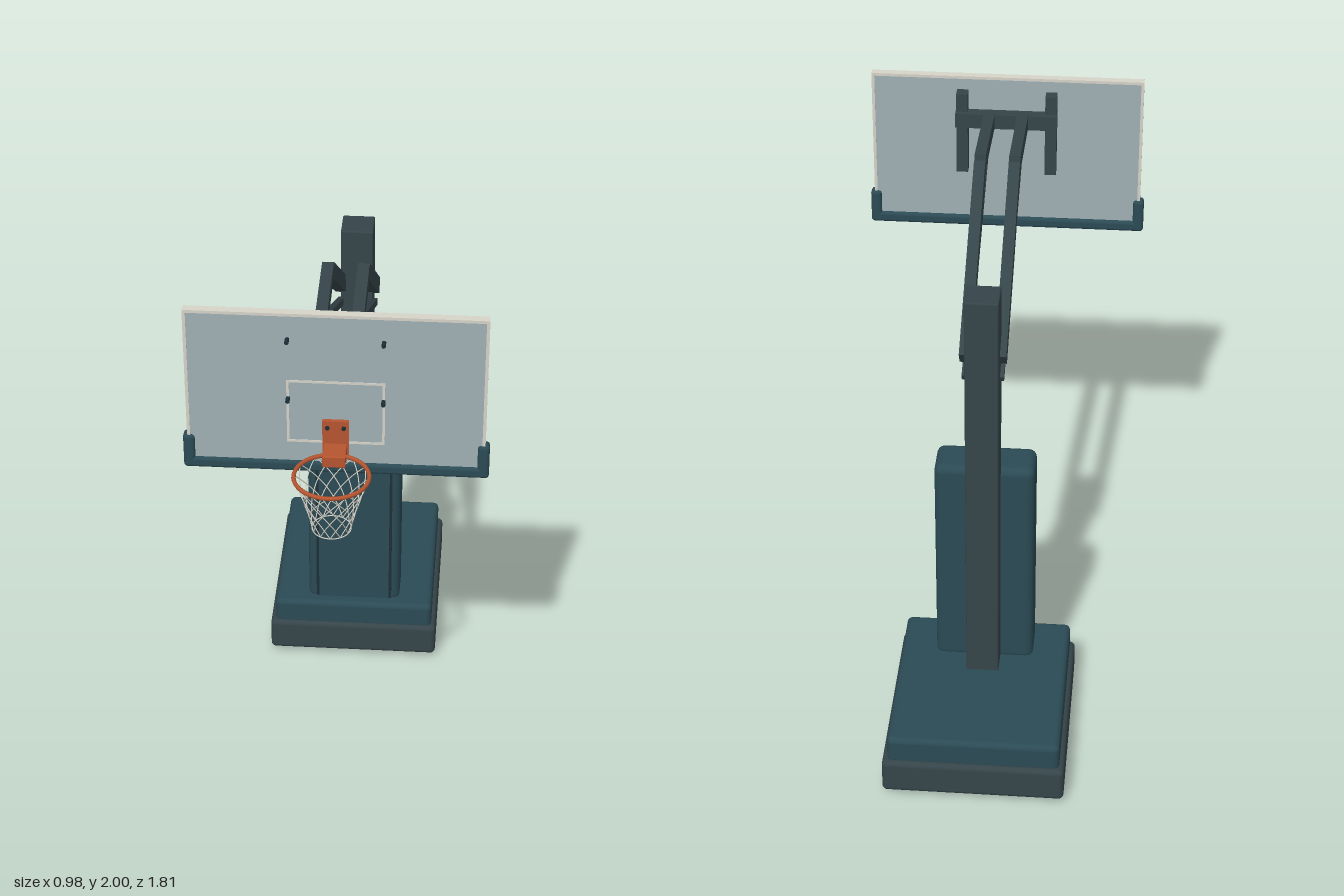
import * as THREE from 'three';
import { RoundedBoxGeometry } from 'three/addons/geometries/RoundedBoxGeometry.js';

const mat = (color) => new THREE.MeshStandardMaterial({ color });

export function createModel() {
  const root = new THREE.Group();
  const teal = mat(0x2b4a54), steel = mat(0x354449), dark = mat(0x1d2f36);
  const orange = mat(0xb65530), cream = mat(0xd6d3c8), glass = mat(0x9fb0b5);

  const add = (name, geometry, material, x = 0, y = 0, z = 0) => {
    const mesh = new THREE.Mesh(geometry, material);
    mesh.name = name;
    mesh.position.set(x, y, z);
    root.add(mesh);
    return mesh;
  };
  // Box given by its extents; r > 0 rounds its edges
  const box = (name, material, [x0, x1], [y0, y1], [z0, z1], r = 0) => {
    const s = [x1 - x0, y1 - y0, z1 - z0];
    const g = r ? new RoundedBoxGeometry(...s, 3, r) : new THREE.BoxGeometry(...s);
    return add(name, g, material, (x0 + x1) / 2, (y0 + y1) / 2, (z0 + z1) / 2);
  };
  // Straight beam in a plane of constant x, between two [z, y] points
  const beam = (name, x, [z0, y0], [z1, y1], width, height) => {
    const g = new THREE.BoxGeometry(width, height, Math.hypot(z1 - z0, y1 - y0));
    const m = add(name, g, steel, x, (y0 + y1) / 2, (z0 + z1) / 2);
    m.rotation.x = -Math.atan2(y1 - y0, z1 - z0);
  };

  // Weighted base with feet
  box('base', steel, [-0.31, 0.31], [0.02, 0.147], [-0.907, -0.197], 0.018);
  box('baseCover', teal, [-0.293, 0.293], [0.13, 0.237], [-0.888, -0.212], 0.02);
  for (const x of [-0.255, 0.255])
    for (const z of [-0.285, -0.82])
      box('foot', steel, [x - 0.04, x + 0.04], [0, 0.03], [z - 0.045, z + 0.045]);

  // Post and its safety padding
  box('post', steel, [-0.056, 0.056], [0.2, 1.735], [-0.498, -0.383], 0.006);
  box('postPadding', teal, [-0.17, 0.17], [0.22, 1.032], [-0.41, -0.258], 0.028);
  box('paddingSeam', dark, [-0.14, 0.14], [0.237, 1.0], [-0.265, -0.256]);
  box('paddingPanel', teal, [-0.13, 0.13], [0.237, 0.99], [-0.265, -0.253]);
  box('paddingLabel', cream, [-0.03, 0.03], [0.868, 0.93], [-0.26, -0.25]);

  // Cranked arms, lower braces and backboard uprights
  for (const s of [-1, 1]) {
    const x = s * 0.058;
    beam('rearArm', x, [-0.44, 1.49], [0.143, 1.888], 0.038, 0.056);
    beam('frontArm', x, [0.145, 1.896], [0.53, 1.862], 0.038, 0.052);
    beam('brace', x, [-0.445, 1.42], [0.34, 1.825], 0.022, 0.024);
    box('upright', steel, [s * 0.155 - 0.02, s * 0.155 + 0.02], [1.65, 1.95], [0.528, 0.572]);
  }
  box('mountBar', steel, [-0.177, 0.177], [1.832, 1.885], [0.51, 0.552]);

  // Glass backboard with its thin frame
  box('backboard', glass, [-0.465, 0.465], [1.43, 1.992], [0.574, 0.596]);
  const rect = (w, y0, y1) => [[-w, y0], [w, y0], [w, y1], [-w, y1]].map((p) => new THREE.Vector2(...p));
  const border = (name, w, y0, y1, t, z, depth) => {
    const shape = new THREE.Shape(rect(w, y0, y1));
    shape.holes.push(new THREE.Path(rect(w - t, y0 + t, y1 - t)));
    add(name, new THREE.ExtrudeGeometry(shape, { depth, bevelEnabled: false }), cream, 0, 0, z);
  };
  border('backboardFrame', 0.474, 1.425, 2, 0.01, 0.571, 0.028);
  border('targetSquare', 0.155, 1.525, 1.757, 0.008, 0.595, 0.003);

  // Edge padding around the bottom and lower corners
  box('bottomPadding', teal, [-0.485, 0.485], [1.414, 1.453], [0.562, 0.606], 0.012);
  for (const s of [-1, 1])
    box('cornerPadding', teal, [s * 0.469 - 0.019, s * 0.469 + 0.019], [1.414, 1.537], [0.562, 0.606], 0.012);

  // Rim plate, bracket and bolts
  box('rimPlate', orange, [-0.042, 0.042], [1.49, 1.615], [0.594, 0.61]);
  box('rimBracket', orange, [-0.037, 0.037], [1.49, 1.532], [0.605, 0.685], 0.004);
  const bolt = (x, y, z) => {
    const g = new THREE.CylinderGeometry(0.007, 0.007, 0.024, 10).rotateX(Math.PI / 2);
    add('bolt', g, dark, x, y, z);
  };
  for (const s of [-1, 1]) {
    bolt(s * 0.15, 1.69, 0.608);
    bolt(s * 0.15, 1.907, 0.608);
    bolt(s * 0.026, 1.592, 0.604);
  }

  // Rim
  const rimY = 1.526, rimZ = 0.782, rimR = 0.118;
  const ring = (name, r, t, m, y) =>
    add(name, new THREE.TorusGeometry(r, t, 8, 48).rotateX(Math.PI / 2), m, 0, y, rimZ);
  ring('rim', rimR, 0.007, orange, rimY);

  // Net of crossing strands that wind down to a narrower hem
  const net = new THREE.Group();
  net.name = 'net';
  net.position.set(0, rimY, rimZ);
  root.add(net);
  const strands = 12, drop = 0.196;
  for (const dir of [-1, 1]) {
    for (let i = 0; i < strands; i++) {
      const pts = [];
      for (let k = 0; k <= 10; k++) {
        const t = k / 10;
        const a = (i / strands) * Math.PI * 2 + dir * t * Math.PI * 0.5;
        const r = 0.062 + (rimR - 0.062) * Math.pow(1 - t, 1.25);
        pts.push(new THREE.Vector3(Math.cos(a) * r, -drop * t, Math.sin(a) * r));
      }
      const g = new THREE.TubeGeometry(new THREE.CatmullRomCurve3(pts), 20, 0.0018, 5);
      const strand = new THREE.Mesh(g, cream);
      strand.name = 'netStrand';
      net.add(strand);
    }
  }
  ring('netHem', 0.062, 0.0018, cream, rimY - drop);

  return root;
}
